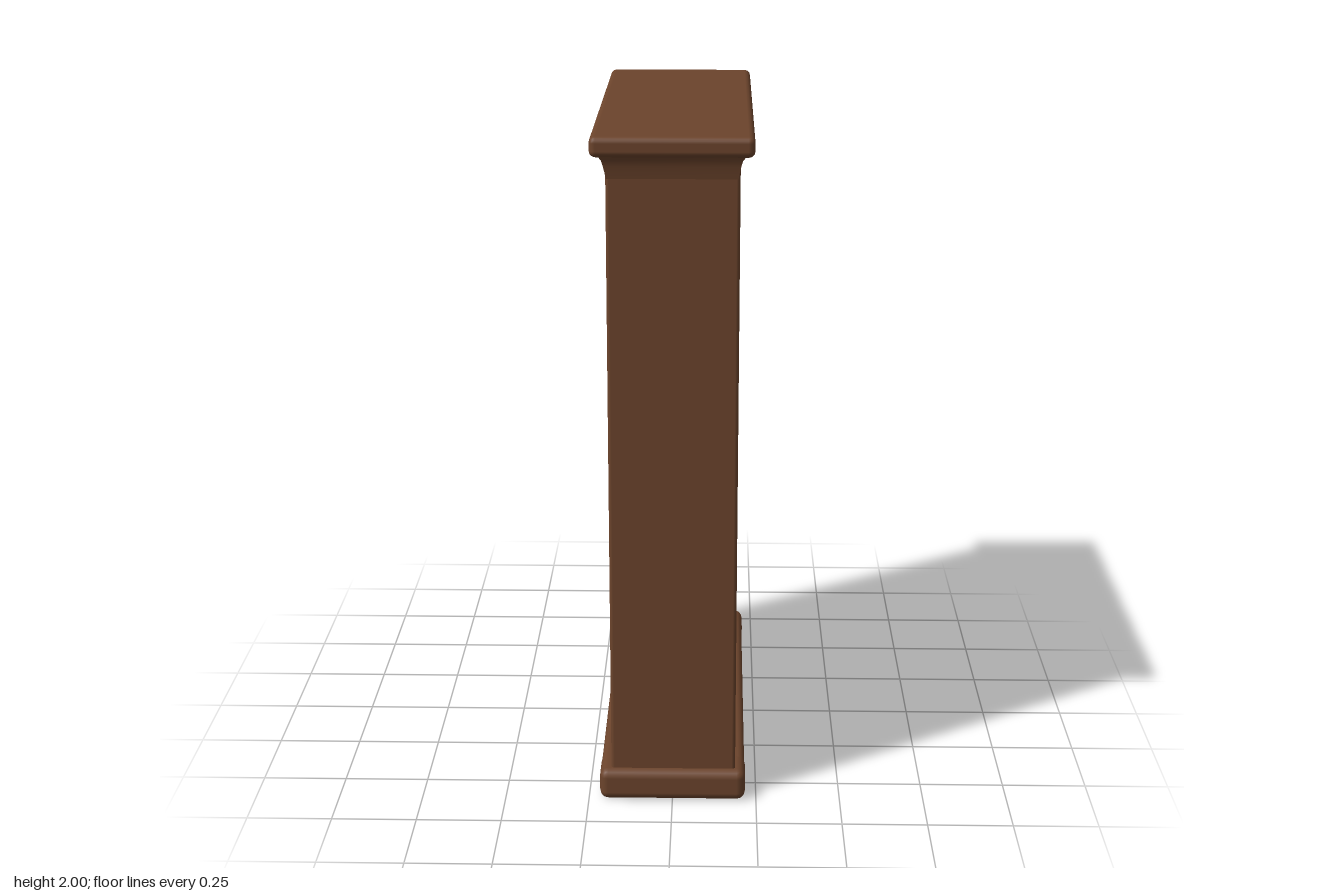
import * as THREE from 'three';
import { RoundedBoxGeometry } from 'three/addons/geometries/RoundedBoxGeometry.js';

const mat = (name, color) => {
  const m = new THREE.MeshStandardMaterial({ color });
  m.name = name;
  return m;
};

export function createModel() {
  const model = new THREE.Group();
  model.name = 'bookcase';
  const wood = mat('wood', 0x6c442c), dark = mat('dark wood', 0x5a3524), ochre = mat('ochre', 0xcf913f);
  const green = mat('green', 0x4e8f5f), indigo = mat('indigo', 0x4f5196), teal = mat('teal', 0x53929d);
  const cream = mat('cream', 0xc8b9a4);

  const add = (parent, name, geo, m, x = 0, y = 0, z = 0) => {
    const mesh = new THREE.Mesh(geo, m);
    mesh.name = name;
    mesh.position.set(x, y, z);
    parent.add(mesh);
    return mesh;
  };
  // rounded block centred on x and z, standing at height y
  const block = (parent, name, m, w, h, d, x, y, z, r) =>
    add(parent, name, new RoundedBoxGeometry(w, h, d, 2, r), m, x, y + h / 2, z);

  // ---- carcass, open towards +x ----
  const carcass = new THREE.Group();
  carcass.name = 'carcass';
  model.add(carcass);
  block(carcass, 'plinth', wood, 0.43, 0.075, 1.2, 0, 0.02, 0, 0.02);
  block(carcass, 'crown', wood, 0.452, 0.058, 1.256, 0, 1.942, 0, 0.018);
  block(carcass, 'backPanel', wood, 0.116, 1.85, 1.06, -0.118, 0.08, 0, 0.004);
  for (const s of [-1, 1]) {
    block(carcass, 'sidePanel', wood, 0.37, 1.85, 0.075, 0.002, 0.08, s * 0.5575, 0.01);
    block(carcass, 'foot', wood, 0.434, 0.096, 0.13, 0, 0, s * 0.555, 0.025);
  }

  // moulding flaring out beneath the crown
  const cove = new THREE.BoxGeometry(0.41, 0.07, 1.24, 1, 4, 1);
  const p = cove.attributes.position;
  for (let i = 0; i < p.count; i++) {
    const inset = 0.024 * Math.sqrt(Math.max(0, 0.5 - p.getY(i) / 0.07));
    p.setX(i, p.getX(i) - Math.sign(p.getX(i)) * inset);
    p.setZ(i, p.getZ(i) - Math.sign(p.getZ(i)) * inset);
  }
  cove.computeVertexNormals();
  add(carcass, 'cove', cove, wood, 0, 1.915, 0);

  // ---- shelf tops from the top down; the plinth is the last ----
  const floors = [1.676, 1.416, 1.157, 0.897, 0.637, 0.371, 0.095];
  for (const y of floors.slice(0, 6))
    block(carcass, 'shelf', wood, 0.25, 0.042, 1.06, 0.053, y - 0.042, 0, 0.014);

  // ---- books ----
  // one upright book; a pair of colours gives it a lower and an upper half
  const book = (row, z, width, height, colours, lean = 0, x = 0.07) => {
    const g = new THREE.Group();
    g.name = 'book';
    g.position.set(x, floors[row], z);
    g.rotation.x = lean;
    model.add(g);
    const part = height / colours.length;
    colours.forEach((m, n) => block(g, 'cover', m, 0.14, part, width, 0, n * part, 0, 0.006));
  };
  // row of upright books shared out evenly from zl to zr
  const run = (row, zl, zr, height, list) => {
    const pitch = (zl - zr) / list.length;
    list.forEach((c, i) =>
      book(row, zl - pitch * (i + 0.5), pitch - 0.003, height - 0.004 * (i % 2), [c].flat(), 0, 0.066 + 0.005 * ((i * 2) % 3)));
  };
  // pile of flat books, bottom first
  const pile = (row, zl, zr, height, list) => {
    const t = height / list.length;
    list.forEach((m, i) =>
      block(model, 'flatBook', m, 0.15, t - 0.002, zl - zr - 0.012 * (i % 2), 0.065, floors[row] + i * t, (zl + zr) / 2, 0.006));
  };

  run(0, 0.487, 0.353, 0.187, [ochre, ochre]);
  run(0, 0.312, 0.184, 0.185, [dark, cream]);
  book(0, 0.12, 0.038, 0.155, [teal], 0.34);
  run(0, -0.038, -0.092, 0.167, [ochre]);
  run(0, -0.125, -0.232, 0.164, [ochre, ochre]);
  run(0, -0.238, -0.294, 0.187, [indigo]);
  run(0, -0.323, -0.442, 0.182, [green, green]);

  run(1, 0.475, 0.3, 0.192, [cream, green, green]);
  pile(1, 0.24, 0.028, 0.115, [cream, ochre]);
  run(1, -0.09, -0.192, 0.185, [ochre, [cream, green]]);
  book(1, -0.265, 0.048, 0.12, [teal], -0.45);
  run(1, -0.328, -0.482, 0.19, [teal, teal, [green, teal]]);

  run(2, 0.5, 0.065, 0.192,
    [[teal, indigo], green, green, [cream, ochre], [cream, teal], indigo, ochre]);
  book(2, 0.02, 0.048, 0.16, [cream], 0.1);

  pile(3, 0.478, 0.315, 0.13, [cream, cream]);
  pile(3, -0.117, -0.286, 0.12, [green, cream, teal]);
  run(3, -0.308, -0.502, 0.185, [ochre, [ochre, green], green, ochre]);

  run(4, 0.492, 0.428, 0.186, [indigo]);
  book(4, 0.365, 0.052, 0.165, [indigo], 0.34);
  pile(4, 0.238, 0.035, 0.1, [cream, cream]);
  block(model, 'ochreCover', ochre, 0.156, 0.05, 0.1, 0.065, floors[4] + 0.052, 0.09, 0.006);
  run(4, -0.093, -0.146, 0.186, [cream]);
  run(4, -0.163, -0.342, 0.19, [ochre, ochre, teal]);
  run(4, -0.368, -0.432, 0.186, [indigo]);
  block(model, 'spineLabel', cream, 0.008, 0.028, 0.048, 0.137, floors[4] + 0.14, -0.4, 0.002);

  block(model, 'box', ochre, 0.13, 0.135, 0.07, 0.07, floors[5], -0.175, 0.006);
  block(model, 'boxLid', indigo, 0.1, 0.045, 0.05, 0.07, floors[5] + 0.135, -0.175, 0.006);
  run(5, -0.273, -0.335, 0.19, [cream]);
  run(5, -0.335, -0.422, 0.186, [teal]);
  run(5, -0.424, -0.482, 0.19, [[cream, ochre]]);

  run(6, 0.492, 0.37, 0.204, [green, green]);
  run(6, 0.342, 0.268, 0.2, [indigo]);
  run(6, 0.262, 0.198, 0.185, [[teal, cream]]);
  run(6, 0.182, 0.12, 0.18, [[cream, teal]]);
  run(6, -0.04, -0.23, 0.192, [cream, [cream, green], green]);

  // ---- ornaments ----
  const ornament = (name, row, z, x) => {
    const g = new THREE.Group();
    g.name = name;
    g.position.set(x, floors[row], z);
    model.add(g);
    return g;
  };
  // turned body: radii at equal height steps, smoothed by a spline
  const turned = (g, name, m, y0, y1, radii) => {
    const pts = radii.map((r, i) => new THREE.Vector2(r, y0 + ((y1 - y0) * i) / (radii.length - 1)));
    const curve = new THREE.SplineCurve(pts).getPoints(14);
    curve.forEach((v) => { v.x = Math.max(0, v.x); });
    add(g, name, new THREE.LatheGeometry(curve, 18), m);
  };
  const ball = (g, name, m, r, x, y, z, sy = 1) =>
    add(g, name, new THREE.SphereGeometry(r, 14, 10), m, x, y, z).scale.set(1, sy, 1);

  const statue = ornament('statuette', 2, -0.19, 0.09);
  turned(statue, 'statueBody', dark, 0, 0.145, [0.036, 0.03, 0.013, 0.03, 0.024, 0.01]);
  ball(statue, 'statueHead', dark, 0.026, 0, 0.158, 0);
  ball(statue, 'statueCollar', green, 0.016, 0.014, 0.13, 0);

  const vase = ornament('vase', 2, -0.395, 0.085);
  turned(vase, 'vaseBody', cream, 0, 0.14, [0.042, 0.056, 0.062, 0.053, 0.022]);
  turned(vase, 'vaseLid', ochre, 0.134, 0.186, [0.03, 0.026, 0.01, 0]);

  const stool = ornament('stool', 3, 0.1, 0.045);
  block(stool, 'stoolSeat', ochre, 0.13, 0.022, 0.125, 0, 0.1, 0, 0.007);
  for (const x of [-0.052, 0.052]) {
    for (const s of [-1, 1]) {
      const leg = add(stool, 'stoolLeg', new THREE.CylinderGeometry(0.01, 0.01, 0.11, 8), ochre, x, 0.055, s * 0.058);
      leg.rotation.x = -s * 0.13;
    }
    block(stool, 'stoolRail', ochre, 0.015, 0.015, 0.116, x, 0.045, 0, 0.004);
  }

  const gourd = ornament('gourdFigure', 5, 0.39, 0.075);
  turned(gourd, 'gourdBody', ochre, 0.015, 0.2, [0, 0.054, 0.063, 0.048, 0.027, 0.025, 0]);
  for (const s of [-1, 1]) ball(gourd, 'gourdFoot', ochre, 0.024, 0.015, 0.02, s * 0.045, 0.85);

  const jar = ornament('jar', 5, 0.175, 0.06);
  turned(jar, 'jarBase', green, 0, 0.056, [0.043, 0.037, 0.032]);
  turned(jar, 'jarBody', ochre, 0.052, 0.145, [0.032, 0.054, 0.053, 0.03]);
  turned(jar, 'jarNeck', dark, 0.138, 0.175, [0.03, 0.037, 0.039, 0]);
  for (const s of [-1, 1]) ball(jar, 'jarHandle', dark, 0.018, 0, 0.118, s * 0.05, 1.3);

  const bowl = ornament('bowl', 5, -0.04, 0.06);
  turned(bowl, 'bowlBody', dark, 0, 0.112, [0.03, 0.023, 0.04, 0.036, 0.046, 0]);
  add(bowl, 'bowlBand', new THREE.TorusGeometry(0.037, 0.006, 6, 18), ochre, 0, 0.055, 0).rotation.x = Math.PI / 2;

  // four-legged animal figure, seen from behind
  const animal = ornament('animalFigure', 6, -0.335, 0.07);
  block(animal, 'animalBody', ochre, 0.14, 0.095, 0.115, 0, 0.1, 0, 0.035);
  for (const x of [-0.04, 0.04])
    for (const s of [-1, 1])
      add(animal, 'animalLeg', new THREE.CylinderGeometry(0.025, 0.019, 0.13, 10), ochre, x, 0.065, s * 0.034);
  return model;
}
